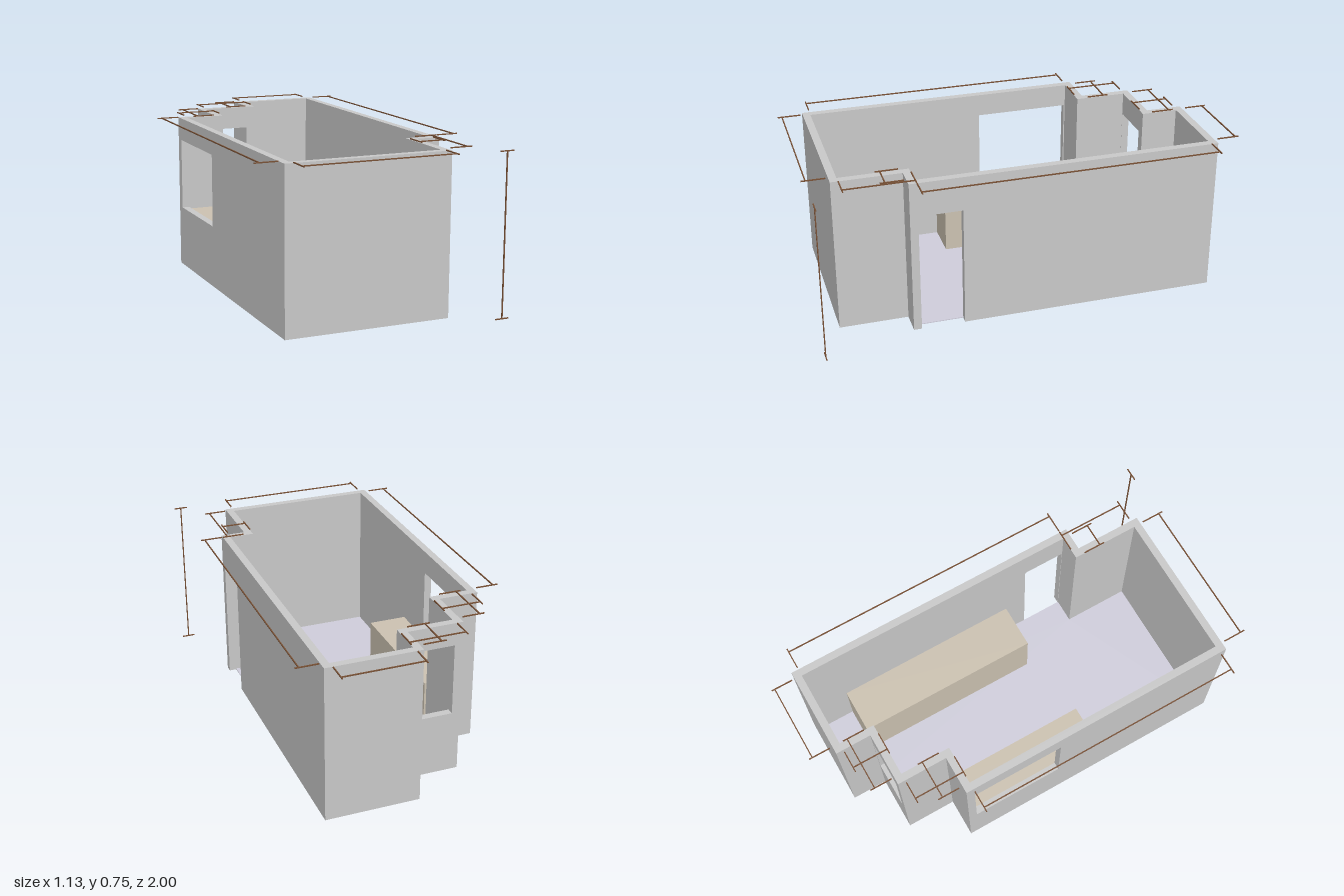
import * as THREE from 'three';

const T = 0.035;              // wall thickness
const BASE = 0.003, TOP = 0.743;
const OUTLINE = [             // outer wall corners (x, z)
  [-0.45, 0.88], [0.32, 0.88], [0.32, 0.56], [0.435, 0.56], [0.435, -0.885],
  [-0.005, -0.885], [-0.005, -0.715], [-0.265, -0.715], [-0.265, -0.475], [-0.45, -0.475],
].map(([x, z]) => new THREE.Vector2(x, z));

// openings by wall index: start and end along the wall, bottom and top
const OPENINGS = {
  3: { name: 'doorWall', u0: 0.037, u1: 0.24, y0: BASE, y1: 0.58 },
  6: { name: 'backWindowWall', u0: 0.007, u1: 0.224, y0: 0.295, y1: 0.635 },
  9: { name: 'leftWindowWall', u0: 0.04, u1: 0.485, y0: 0.295, y1: 0.635 },
};

const count = OUTLINE.length;
const corner = (i) => OUTLINE[(i + count) % count];
const direction = (i) => corner(i + 1).clone().sub(corner(i)).normalize();
// +1 at an outward corner, -1 at an inward one
const turn = (i) => -Math.sign(direction(i - 1).cross(direction(i)));

function innerCorner(i) {
  const a = direction(i - 1), b = direction(i), s = T * turn(i);
  return corner(i).clone().addScaledVector(a, -s).addScaledVector(b, s);
}

function wall(i, material) {
  const length = corner(i).distanceTo(corner(i + 1));
  const o = OPENINGS[i];
  const points = [[0, BASE]];
  if (o && o.y0 === BASE) points.push([o.u0, BASE], [o.u0, o.y1], [o.u1, o.y1], [o.u1, BASE]);
  points.push([length, BASE], [length, TOP], [0, TOP]);
  const shape = new THREE.Shape(points.map((p) => new THREE.Vector2(...p)));
  if (o && o.y0 > BASE) {
    shape.holes.push(new THREE.Path([
      [o.u0, o.y0], [o.u0, o.y1], [o.u1, o.y1], [o.u1, o.y0],
    ].map((p) => new THREE.Vector2(...p))));
  }
  const geometry = new THREE.ExtrudeGeometry(shape, { depth: T, bevelEnabled: false });
  geometry.translate(0, 0, -T);

  // mitre the inner ends so neighbouring walls meet
  const pos = geometry.attributes.position;
  for (let v = 0; v < pos.count; v++) {
    if (pos.getZ(v) > -T / 2) continue;
    const u = pos.getX(v);
    if (u < 1e-5) pos.setX(v, T * turn(i));
    else if (u > length - 1e-5) pos.setX(v, length - T * turn(i + 1));
  }
  const mesh = new THREE.Mesh(geometry, material);
  mesh.name = o ? o.name : 'wall';
  const d = direction(i);
  mesh.position.set(corner(i).x, 0, corner(i).y);
  mesh.rotation.y = Math.atan2(-d.y, d.x);
  return mesh;
}

// box given by its lowest and highest corners
function block(name, min, max, material) {
  const size = max.map((m, k) => m - min[k]);
  const mesh = new THREE.Mesh(new THREE.BoxGeometry(...size), material);
  mesh.position.set(...max.map((m, k) => (m + min[k]) / 2));
  mesh.name = name;
  return mesh;
}

export function createModel() {
  const group = new THREE.Group();
  group.name = 'room';
  const wallMaterial = new THREE.MeshStandardMaterial({ color: 0xcccccc });
  const floorMaterial = new THREE.MeshStandardMaterial({ color: 0xd2d0de });
  const counterMaterial = new THREE.MeshStandardMaterial({ color: 0xcec4b3 });
  const lineMaterial = new THREE.MeshStandardMaterial({ color: 0x7a5236 });

  // walls
  const walls = new THREE.Group();
  walls.name = 'walls';
  for (let i = 0; i < count; i++) walls.add(wall(i, wallMaterial));
  group.add(walls);

  // floor between the walls
  const floorShape = new THREE.Shape(OUTLINE.map((_, i) => {
    const p = innerCorner(i);
    return new THREE.Vector2(p.x, -p.y);
  }));
  const floor = new THREE.Mesh(
    new THREE.ExtrudeGeometry(floorShape, { depth: 0.004, bevelEnabled: false }), floorMaterial);
  floor.rotation.x = -Math.PI / 2;
  floor.position.y = BASE;
  floor.name = 'floor';
  group.add(floor);

  // low counters along both sides
  group.add(block('leftCounter', [-0.414, 0.005, -0.42], [-0.23, 0.29, 0.24], counterMaterial));
  group.add(block('rightCounter', [0.18, 0.005, -0.685], [0.395, 0.29, 0.21], counterMaterial));

  // measuring lines: axis, line offset, start, end, tick start, tick end
  const lines = new THREE.Group();
  lines.name = 'measuringLines';
  const R = 0.0025, Y = 0.748;
  const bar = (name, x0, x1, y0, y1, z0, z1) => lines.add(block(name,
    [x0 - R, y0 - R, z0 - R], [x1 + R, y1 + R, z1 + R], lineMaterial));
  const spans = [
    ['x', -0.985, 0.03, 0.40, -0.9975, -0.90],
    ['x', -0.812, -0.23, 0.03, -0.83, -0.73],
    ['x', -0.575, -0.415, -0.23, -0.595, -0.495],
    ['x', 0.655, 0.285, 0.40, 0.575, 0.675],
    ['x', 0.98, -0.415, 0.285, 0.895, 0.9975],
    ['z', -0.10, -0.85, -0.68, -0.12, -0.02],
    ['z', -0.36, -0.68, -0.44, -0.38, -0.28],
    ['z', -0.545, -0.44, 0.845, -0.565, -0.465],
    ['z', 0.53, -0.85, 0.525, 0.445, 0.545],
    ['z', 0.415, 0.525, 0.845, 0.335, 0.435],
  ];
  for (const [axis, at, from, to, t0, t1] of spans) {
    if (axis === 'x') {
      bar('spanLine', from, to, Y, Y, at, at);
      for (const e of [from, to]) bar('spanTick', e, e, Y, Y, t0, t1);
    } else {
      bar('spanLine', at, at, Y, Y, from, to);
      for (const e of [from, to]) bar('spanTick', t0, t1, Y, Y, e, e);
    }
  }
  // upright height line
  bar('heightLine', 0.53, 0.53, R, 0.743, 0.98, 0.98);
  for (const y of [R, 0.743]) bar('heightTick', 0.50, 0.56, y, y, 0.98, 0.98);
  group.add(lines);

  return group;
}
